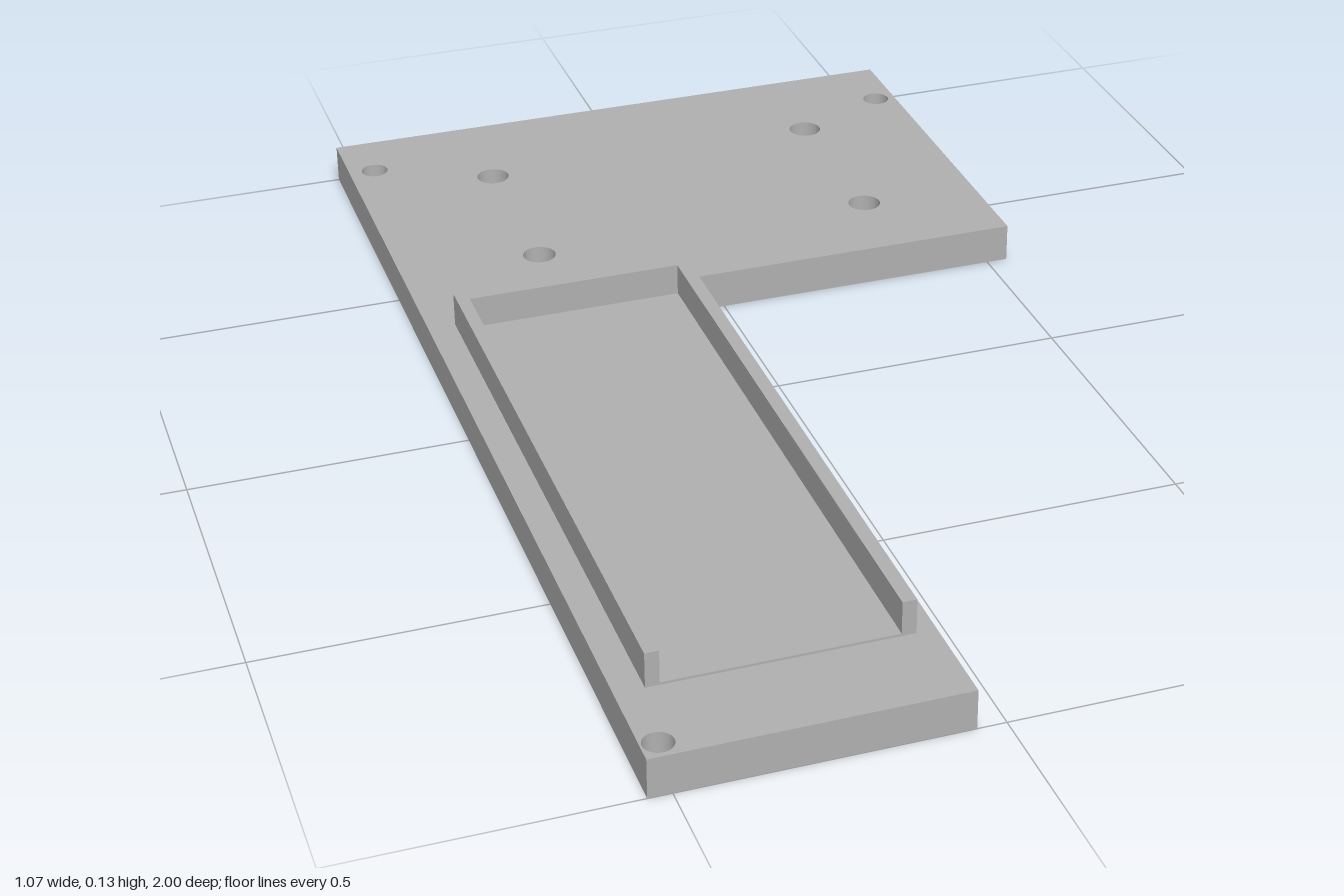
import * as THREE from 'three';

const grey = new THREE.MeshStandardMaterial({ color: 0xb0b0b0 });
grey.name = 'plain grey';

// Extrude a plan outline of [x, z] points, with round holes [x, z, r], from y = bottom to y = top
function slab(name, points, bottom, top, holes = []) {
  const shape = new THREE.Shape(points.map(([x, z]) => new THREE.Vector2(x, z)));
  for (const [x, z, r] of holes) {
    shape.holes.push(new THREE.Path().absarc(x, z, r, 0, Math.PI * 2, true));
  }
  const geometry = new THREE.ExtrudeGeometry(shape, {
    depth: top - bottom, bevelEnabled: false, curveSegments: 16,
  });
  geometry.rotateX(Math.PI / 2).translate(0, top, 0);
  const mesh = new THREE.Mesh(geometry, grey);
  mesh.name = name;
  return mesh;
}

export function createModel() {
  const model = new THREE.Group();
  model.name = 'mountingPlate';
  const baseTop = 0.067;

  // L-shaped base with four mounting holes and three smaller corner holes
  const holes = [[-0.49, -0.883, 0.024], [0.5, -0.87, 0.024], [-0.51, 0.968, 0.024]];
  for (const x of [-0.288, 0.325]) {
    for (const z of [-0.788, -0.463]) holes.push([x, z, 0.029]);
  }
  model.add(slab('basePlate', [
    [-0.537, -1], [0.537, -1], [0.537, -0.293], [-0.046, -0.293], [-0.046, 1], [-0.537, 1],
  ], 0, baseTop, holes));

  // U-shaped rim, open toward the front
  const [x0, x1, z0, z1] = [-0.49, -0.078, -0.267, 0.84];
  const [i0, i1, iz] = [-0.468, -0.101, -0.241];
  model.add(slab('trayRim', [
    [x0, z0], [x1, z0], [x1, z1], [i1, z1], [i1, iz], [i0, iz], [i0, z1], [x0, z1],
  ], baseTop, 0.126));

  // Thin raised floor inside the rim
  model.add(slab('trayFloor', [[i0, iz], [i1, iz], [i1, z1], [i0, z1]], baseTop, 0.071));

  return model;
}
